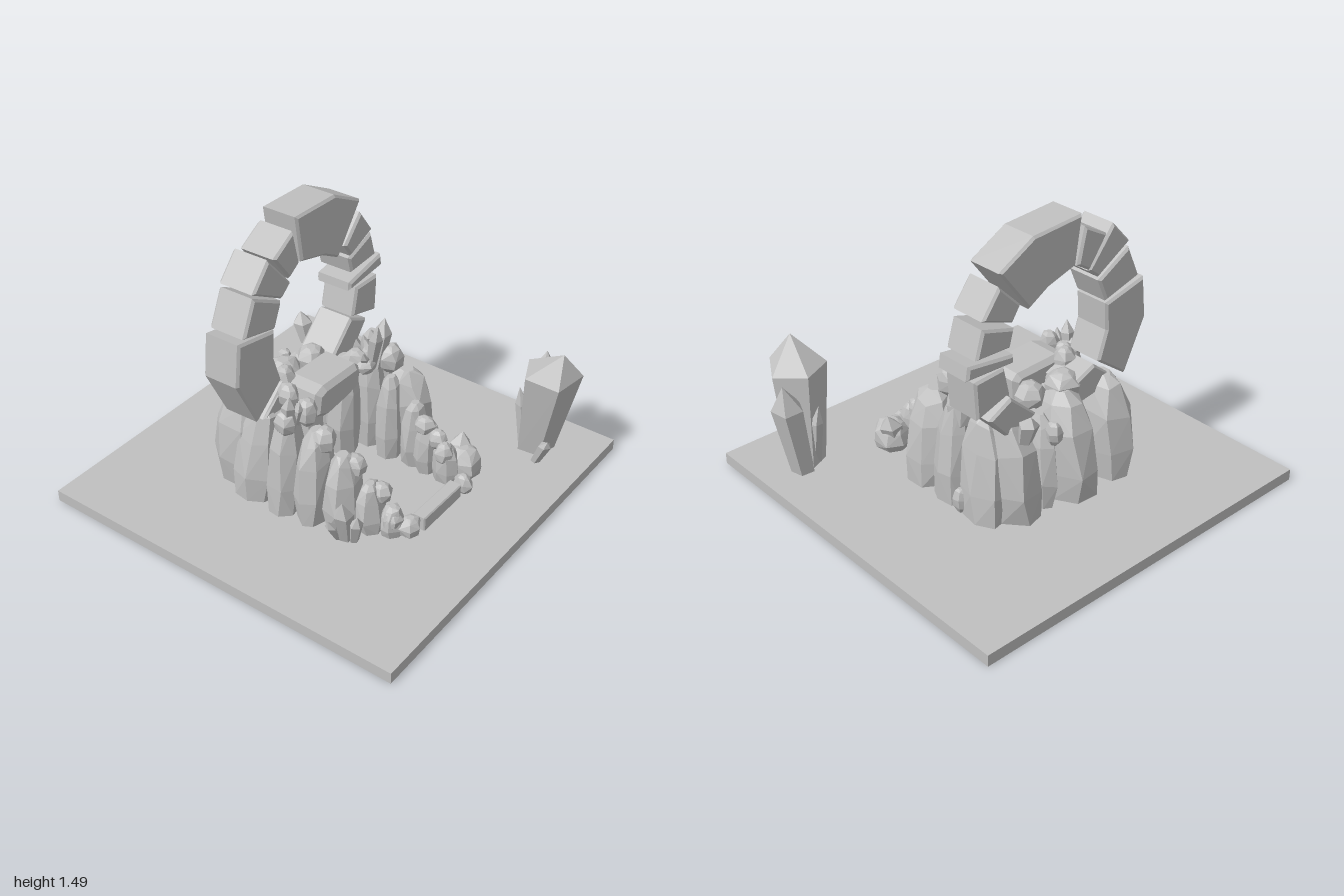
import * as THREE from 'three';
import { ConvexGeometry } from 'three/addons/geometries/ConvexGeometry.js';

export function createModel() {
  const group = new THREE.Group();
  const stone = new THREE.MeshStandardMaterial({ color: 0xc0c0c0 });
  stone.name = 'grey stone';

  let seed = 11;
  const rand = () => (seed = (seed * 16807) % 2147483647) / 2147483647;
  const vary = (a) => 1 + (rand() - 0.5) * 2 * a;

  const add = (name, geometry) => {
    const mesh = new THREE.Mesh(geometry, stone);
    mesh.name = name;
    group.add(mesh);
    return mesh;
  };

  // Faceted boulder filling a box, its upper rings shifted by a lean
  const rings = [[0, 0.86], [0.28, 1], [0.66, 0.9], [0.9, 0.62], [1, 0.28]];
  const roundRings = [[0, 0.4], [0.25, 0.9], [0.6, 1], [0.88, 0.7], [1, 0.3]];
  const rock = (name, [x0, x1, z0, z1, y0, y1, lx = 0, lz = 0], profile = rings, sides = 7) => {
    const points = [];
    const turn = rand() * 6;
    for (const [t, s] of profile) {
      for (let i = 0; i < sides; i++) {
        const a = turn + ((i + (rand() - 0.5) * 0.3) / sides) * Math.PI * 2;
        const r = s * vary(0.07);
        points.push(new THREE.Vector3(
          (x0 + x1) / 2 + Math.cos(a) * r * (x1 - x0) / 2 + lx * t,
          y0 + (y1 - y0) * (t > 0 && t < 1 ? t * vary(0.06) : t),
          (z0 + z1) / 2 + Math.sin(a) * r * (z1 - z0) / 2 + lz * t));
      }
    }
    add(name, new ConvexGeometry(points));
  };

  // Pointed crystal: narrow foot, wide shoulder, off-centre tip
  const crystal = (name, foot, footR, shoulder, shoulderR, tip, sides = 5, turn = 0.3) => {
    const points = [new THREE.Vector3(...tip)];
    for (let i = 0; i < sides; i++) {
      const a = turn + (i / sides) * Math.PI * 2;
      const c = Math.cos(a), s = Math.sin(a);
      points.push(new THREE.Vector3(foot[0] + c * footR, foot[1], foot[2] + s * footR));
      points.push(new THREE.Vector3(shoulder[0] + c * shoulderR,
        shoulder[1] + (rand() - 0.5) * 0.2 * shoulderR, shoulder[2] + s * shoulderR));
    }
    add(name, new ConvexGeometry(points));
  };

  // Bevelled slab cut from a front outline
  const block = (name, outline, z0, z1, bevel) => {
    const shape = new THREE.Shape(outline.map(([x, y]) => new THREE.Vector2(x, y)));
    const geometry = new THREE.ExtrudeGeometry(shape, {
      depth: z1 - z0 - bevel * 2, bevelEnabled: true, bevelSegments: 1,
      bevelSize: bevel, bevelThickness: bevel, bevelOffset: -bevel,
    });
    geometry.translate(0, 0, z0 + bevel);
    return add(name, geometry);
  };

  // Ground slab
  add('groundSlab', new THREE.BoxGeometry(2, 0.06, 2).translate(0, 0.03, 0));

  // Ring of arch stones
  [
    [[-0.57, 1.03], [-0.31, 0.975], [-0.32, 0.83], [-0.27, 0.68], [-0.46, 0.54], [-0.595, 0.81]],
    [[-0.46, 1.22], [-0.26, 1.11], [-0.315, 0.985], [-0.54, 1.045]],
    [[-0.355, 1.37], [-0.195, 1.18], [-0.265, 1.125], [-0.47, 1.245]],
    [[-0.3, 1.34], [-0.155, 1.42], [-0.11, 1.24], [-0.19, 1.19]],
    [[-0.14, 1.485], [0.16, 1.47], [0.365, 1.36], [0.185, 1.125], [0.07, 1.19], [-0.105, 1.24]],
    [[0.36, 1.295], [0.46, 1.16], [0.28, 1.09], [0.23, 1.165]],
    [[0.47, 1.13], [0.51, 0.99], [0.305, 0.98], [0.28, 1.07]],
    [[0.55, 0.975], [0.56, 0.905], [0.275, 0.89], [0.28, 0.935]],
    [[0.33, 0.885], [0.51, 0.875], [0.495, 0.675], [0.295, 0.735]],
    [[0.3, 0.72], [0.435, 0.65], [0.3, 0.49], [0.14, 0.57]],
    [[-0.25, 0.67], [-0.1, 0.61], [-0.16, 0.49], [-0.42, 0.53]],
  ].forEach((outline, i) => {
    const shift = (i % 3 - 1) * 0.006;
    block('archStone', outline, -0.352 + shift, -0.152 + shift, 0.012).rotation.y = 0.025;
  });

  // Doorway lintel and front step
  block('lintel', [[-0.27, 0.53], [-0.25, 0.65], [-0.19, 0.67], [0.06, 0.66], [0.09, 0.63],
    [0.085, 0.53], [-0.02, 0.505], [-0.18, 0.49]], -0.17, 0.05, 0.025);
  block('frontStep', [[-0.17, 0.05], [-0.17, 0.135], [0.15, 0.13], [0.15, 0.05]], 0.54, 0.61, 0.006);

  // Tall rocks closing the back
  [
    [-0.47, -0.21, -0.53, -0.18, 0.06, 0.59, 0, 0.04],
    [-0.22, 0.07, -0.55, -0.14, 0.06, 0.6, 0, 0.05],
    [0.02, 0.17, -0.46, -0.2, 0.06, 0.55],
    [0.11, 0.38, -0.51, -0.16, 0.06, 0.61, 0.02, 0.06],
    [0.3, 0.47, -0.4, -0.12, 0.06, 0.6, -0.05, 0.04],
    [-0.52, -0.34, -0.36, -0.1, 0.06, 0.56, 0.06, 0.03],
    [-0.25, 0.02, -0.22, -0.06, 0.06, 0.52, 0, -0.03],
    [0.03, 0.22, -0.18, 0.0, 0.06, 0.62, 0.01, 0],
  ].forEach((r) => rock('backRock', r));

  // Side walls, stepping down toward the front
  [
    [-0.52, -0.33, -0.13, 0.06, 0.06, 0.6, 0.05, 0],
    [-0.36, -0.21, -0.12, 0.06, 0.06, 0.6],
    [-0.51, -0.26, 0.03, 0.21, 0.06, 0.54, 0.05, -0.02],
    [-0.45, -0.22, 0.17, 0.36, 0.06, 0.44, 0.02, -0.03],
    [-0.38, -0.2, 0.32, 0.46, 0.06, 0.31, 0.01, -0.02],
    [-0.33, -0.2, 0.43, 0.55, 0.06, 0.22],
    [0.32, 0.47, -0.14, 0.06, 0.06, 0.62, -0.05, 0],
    [0.17, 0.34, -0.12, 0.07, 0.06, 0.62],
    [0.24, 0.48, 0.03, 0.3, 0.06, 0.55, -0.05, 0],
    [0.15, 0.31, 0.05, 0.2, 0.06, 0.53],
    [0.17, 0.33, 0.19, 0.33, 0.06, 0.42],
    [0.16, 0.32, 0.28, 0.42, 0.06, 0.35],
    [0.16, 0.28, 0.4, 0.54, 0.06, 0.28],
    [0.22, 0.42, 0.4, 0.61, 0.06, 0.21],
  ].forEach((r) => rock('wallRock', r));

  // Loose boulders on the walls, crown and door corners
  [
    [-0.38, -0.27, -0.02, 0.09, 0.53, 0.67], [-0.47, -0.35, -0.08, 0.04, 0.5, 0.63],
    [-0.34, -0.24, -0.16, -0.04, 0.55, 0.68], [-0.39, -0.27, 0.08, 0.2, 0.42, 0.56],
    [-0.34, -0.22, 0.22, 0.34, 0.32, 0.43], [-0.3, -0.2, 0.36, 0.47, 0.2, 0.31],
    [-0.29, -0.16, 0.51, 0.62, 0.05, 0.16], [-0.33, -0.22, 0.44, 0.55, 0.1, 0.2],
    [0.2, 0.34, 0.02, 0.16, 0.53, 0.68], [0.28, 0.4, -0.14, 0.02, 0.42, 0.67],
    [0.08, 0.21, -0.1, 0.04, 0.54, 0.67], [0.09, 0.2, -0.02, 0.08, 0.56, 0.64],
    [0.17, 0.27, 0.28, 0.4, 0.28, 0.38], [0.15, 0.25, 0.42, 0.52, 0.17, 0.29],
    [0.15, 0.23, 0.54, 0.65, 0.05, 0.16], [0.18, 0.27, 0.36, 0.47, 0.22, 0.33],
    [-0.22, -0.02, -0.36, -0.18, 0.52, 0.66], [-0.02, 0.14, -0.32, -0.16, 0.52, 0.65],
    [-0.28, -0.16, -0.24, -0.12, 0.58, 0.71], [0.05, 0.13, -0.48, -0.39, 0.42, 0.54],
    [0.4, 0.47, -0.21, -0.12, 0.06, 0.19],
  ].forEach((r) => rock('looseBoulder', r, roundRings, 6));

  // Large crystal cluster at the front left corner
  crystal('largeCrystal', [0.725, 0.06, 0.69], 0.1, [0.69, 0.55, 0.765], 0.152, [0.67, 0.7, 0.83], 5, -0.1);
  crystal('mediumCrystal', [0.79, 0.06, 0.62], 0.06, [0.835, 0.42, 0.645], 0.082, [0.855, 0.55, 0.645], 5, 0.4);
  crystal('smallCrystal', [0.61, 0.06, 0.76], 0.025, [0.59, 0.19, 0.815], 0.034, [0.575, 0.23, 0.835]);
  crystal('smallCrystal', [0.7, 0.06, 0.64], 0.03, [0.7, 0.3, 0.61], 0.035, [0.69, 0.4, 0.595]);

  // Crystals growing on top of the walls and beside them
  [
    [0.19, 0.56, 0.03, 0.165, 0.84, 0.09, 0.036],
    [0.22, 0.56, 0.04, 0.26, 0.83, 0.06, 0.05],
    [0.17, 0.56, 0.02, 0.11, 0.69, 0.04, 0.025],
    [0.33, 0.56, -0.06, 0.31, 0.69, -0.06, 0.04],
    [-0.4, 0.53, -0.02, -0.41, 0.72, 0.0, 0.036],
    [-0.37, 0.53, 0, -0.37, 0.68, 0.03, 0.025],
    [-0.43, 0.06, 0.34, -0.49, 0.32, 0.36, 0.05],
    [-0.42, 0.06, 0.38, -0.45, 0.24, 0.42, 0.035],
    [-0.45, 0.06, 0.31, -0.52, 0.2, 0.3, 0.03],
    [0.31, 0.06, 0.48, 0.37, 0.26, 0.47, 0.06],
    [0.26, 0.5, -0.42, 0.27, 0.66, -0.47, 0.05],
  ].forEach(([x, y, z, tx, ty, tz, r], i) => {
    const at = (a, b) => a + (b - a) * 0.68;
    crystal('wallCrystal', [x, y, z], r * 0.7, [at(x, tx), at(y, ty), at(z, tz)], r, [tx, ty, tz], 5, i);
  });

  return group;
}
